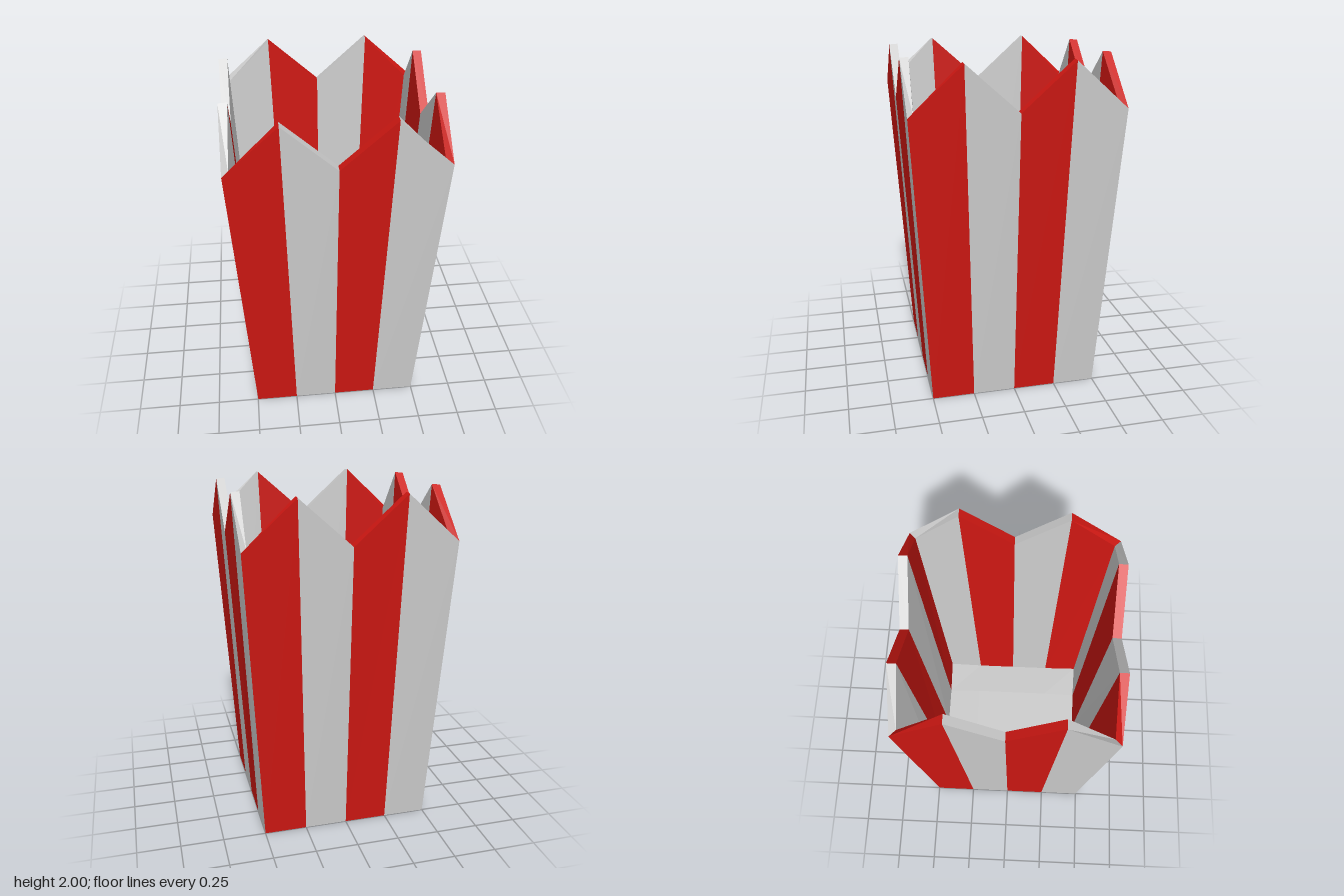
import * as THREE from 'three';

const T = 0.05; // wall thickness

// flat-shaded geometry from quads, corners counter-clockwise
function quads(list) {
  const pos = [];
  for (const [a, b, c, d] of list) pos.push(...a, ...b, ...c, ...a, ...c, ...d);
  const g = new THREE.BufferGeometry();
  g.setAttribute('position', new THREE.Float32BufferAttribute(pos, 3));
  g.computeVertexNormals();
  return g;
}

// outer and inner points of stripe edge i (-2..2) on the front wall
function edge(i) {
  const corner = Math.abs(i) === 2, s = Math.sign(i);
  const y = i % 2 ? 1.997 : 1.73; // peaks and notches of the zigzag rim
  const top = [0.3 * i, y, 0.598], bottom = [0.25 * i, 0, 0.5];
  const kt = corner ? T / Math.SQRT2 : T;
  const kb = corner ? T / Math.sqrt(3) : T / Math.SQRT2;
  if (corner) top[0] = 0.598 * s;
  return {
    top, bottom,
    topIn: [top[0] - (corner ? s * kt : 0), y + 0.003, top[2] - kt],
    bottomIn: [bottom[0] - (corner ? s * kb : 0), kb, 0.5 - kb],
  };
}

// point of the inner floor on a 5 x 5 grid
function floorPoint(i, j) {
  const ei = Math.abs(i) === 2, ej = Math.abs(j) === 2;
  const k = T / Math.sqrt(1 + ei + ej);
  return [0.25 * i - (ei ? Math.sign(i) * k : 0), k, 0.25 * j - (ej ? Math.sign(j) * k : 0)];
}

export function createModel() {
  const model = new THREE.Group();
  model.name = 'popcornBox';
  const grey = new THREE.MeshStandardMaterial({ color: 0xcccccc, flatShading: true });
  const red = new THREE.MeshStandardMaterial({ color: 0xcc1712, flatShading: true });

  // four striped walls, each with outer face, inner face and rim
  const stripes = [-2, -1, 0, 1].map((i) => {
    const a = edge(i), b = edge(i + 1);
    return quads([
      [a.bottom, b.bottom, b.top, a.top],
      [b.bottomIn, a.bottomIn, a.topIn, b.topIn],
      [a.top, b.top, b.topIn, a.topIn],
    ]);
  });
  ['frontWall', 'leftWall', 'backWall', 'rightWall'].forEach((name, side) => {
    const wall = new THREE.Group();
    wall.name = name;
    wall.rotation.y = side * Math.PI / 2;
    stripes.forEach((geometry, n) => {
      const mesh = new THREE.Mesh(geometry, n % 2 ? grey : red);
      mesh.name = n % 2 ? 'greyStripe' : 'redStripe';
      wall.add(mesh);
    });
    model.add(wall);
  });

  // underside and slightly domed inner floor
  const faces = [[[-0.5, 0, -0.5], [0.5, 0, -0.5], [0.5, 0, 0.5], [-0.5, 0, 0.5]]];
  for (let i = -2; i < 2; i++) {
    for (let j = -2; j < 2; j++) {
      faces.push([floorPoint(i, j), floorPoint(i, j + 1), floorPoint(i + 1, j + 1), floorPoint(i + 1, j)]);
    }
  }
  const base = new THREE.Mesh(quads(faces), grey);
  base.name = 'base';
  model.add(base);
  return model;
}
